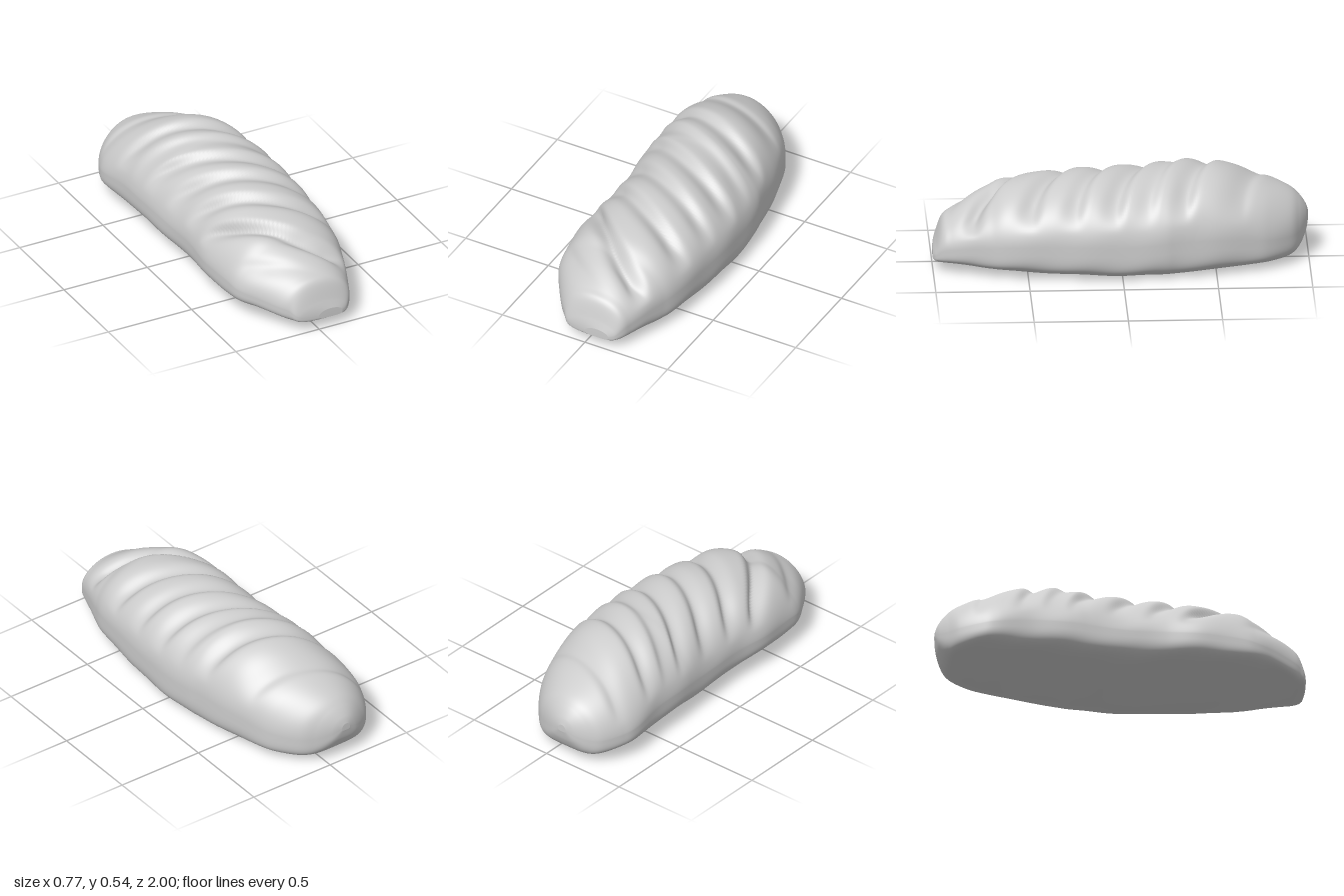
import * as THREE from 'three';

// Loaf stations from front to back: z, right edge, left edge, bottom, top
const STATIONS = [
  [1.0, 0.0, 0.14, 0.065, 0.115], [0.985, -0.11, 0.175, 0.058, 0.16], [0.95, -0.155, 0.208, 0.052, 0.26],
  [0.9, -0.2, 0.23, 0.05, 0.3], [0.8, -0.27, 0.268, 0.045, 0.358], [0.7, -0.325, 0.305, 0.035, 0.405],
  [0.6, -0.345, 0.335, 0.028, 0.455], [0.4, -0.36, 0.365, 0.022, 0.483], [0.2, -0.345, 0.38, 0.012, 0.507],
  [0, -0.345, 0.385, 0.0, 0.518], [-0.2, -0.36, 0.375, 0.005, 0.535], [-0.3, -0.365, 0.36, 0.01, 0.542],
  [-0.5, -0.37, 0.325, 0.015, 0.53], [-0.7, -0.385, 0.265, 0.022, 0.455], [-0.8, -0.365, 0.215, 0.027, 0.415],
  [-0.9, -0.31, 0.135, 0.04, 0.364], [-0.95, -0.25, 0.06, 0.07, 0.32], [-0.985, -0.185, -0.02, 0.13, 0.27],
  [-1.0, -0.13, -0.08, 0.19, 0.23],
];

// Diagonal scores across the crust: z on the centre line, slope, depth
const SCORES = [
  [0.9, 0.6, 0.015], [0.665, 0.75, 0.055], [0.36, 0.55, 0.04], [0.13, 0.5, 0.035],
  [-0.08, 0.48, 0.035], [-0.24, 0.42, 0.02], [-0.42, 0.35, 0.035], [-0.69, 0.28, 0.015],
];

// Smooth interpolation between stations
function station(t) {
  const last = STATIONS.length - 1;
  const i = Math.min(Math.floor(t), last - 1), f = t - i;
  const row = (k) => STATIONS[THREE.MathUtils.clamp(k, 0, last)];
  return row(i).map((b, c) => {
    const a = row(i - 1)[c], d = row(i + 1)[c], e = row(i + 2)[c];
    return b + 0.5 * f * (d - a + f * (2 * a - 5 * b + 4 * d - e + f * (3 * (b - d) + e - a)));
  });
}

// How far a point of the crust sinks into the nearest score
function scoreDepth(x, z) {
  let depth = 0;
  for (const [z0, slope, amount] of SCORES) {
    const d = z - (z0 + slope * x - 1.6 * (slope * x) ** 2); // steeper cuts bend more
    const width = d > 0 ? 0.07 : 0.035; // one steep lip, one soft lip
    depth = Math.max(depth, amount * Math.exp(-((d / width) ** 2)));
  }
  return depth;
}

function loafGeometry(sides = 120, perStation = 20) {
  const rings = (STATIONS.length - 1) * perStation;
  const positions = [], index = [];
  const spow = (v, p) => Math.sign(v) * Math.abs(v) ** p;

  for (let i = -1; i <= rings + 1; i++) {
    const closed = i < 0 || i > rings; // pinch the two ends shut
    const [z, x0, x1, y0, y1] = station(THREE.MathUtils.clamp(i, 0, rings) / perStation);
    const cx = (x0 + x1) / 2, hw = closed ? 0 : (x1 - x0) / 2;
    const waist = y0 + (y1 - y0) * 0.38;
    const blend = THREE.MathUtils.smoothstep(1 - Math.abs(z), 0.02, 0.25);
    for (let j = 0; j < sides; j++) {
      const a = (j / sides) * Math.PI * 2, c = Math.cos(a), s = Math.sin(a);
      let x, y;
      if (s >= 0) {
        // domed crust, fuller on the left shoulder
        x = cx + hw * spow(c, 0.97);
        y = waist + (y1 - waist) * s ** (1.08 - 0.1 * c);
        const mask = THREE.MathUtils.smoothstep(s, 0.25, 0.8) * blend;
        const sink = scoreDepth(x, z) * mask;
        x -= c * sink;
        y -= s * sink;
      } else {
        // flat base with a shallow hollow, lower and squarer on the left
        const p = 0.5 - 0.06 * c;
        const u = spow(c, p);
        x = cx + hw * u;
        y = waist + (y0 - waist) * Math.abs(s) ** p;
        y += Math.abs(s) * blend * (0.018 - 0.03 * u + 0.005 * Math.sin(z * 9 + x * 6));
      }
      // gentle hand-shaped unevenness
      const lump = 0.003 * blend * Math.sin(z * 13 + a * 2) * Math.sin(a * 3 + z * 5);
      x += c * lump;
      y += s * lump;
      if (closed) y = (y0 + y1) / 2;
      positions.push(x, Math.max(y, 0), z);
    }
  }

  for (let i = 0; i < rings + 2; i++) {
    for (let j = 0; j < sides; j++) {
      const n = (j + 1) % sides;
      const a = i * sides + j, b = i * sides + n;
      const c = a + sides, d = b + sides;
      index.push(a, c, b, b, c, d);
    }
  }
  const geometry = new THREE.BufferGeometry();
  geometry.setAttribute('position', new THREE.Float32BufferAttribute(positions, 3));
  geometry.setIndex(index);
  geometry.computeVertexNormals();
  return geometry;
}

export function createModel() {
  const group = new THREE.Group();
  group.name = 'breadLoaf';
  const crust = new THREE.MeshStandardMaterial({ color: 0xcccccc });
  crust.name = 'crust';
  const loaf = new THREE.Mesh(loafGeometry(), crust);
  loaf.name = 'scoredLoaf';
  group.add(loaf);
  return group;
}
